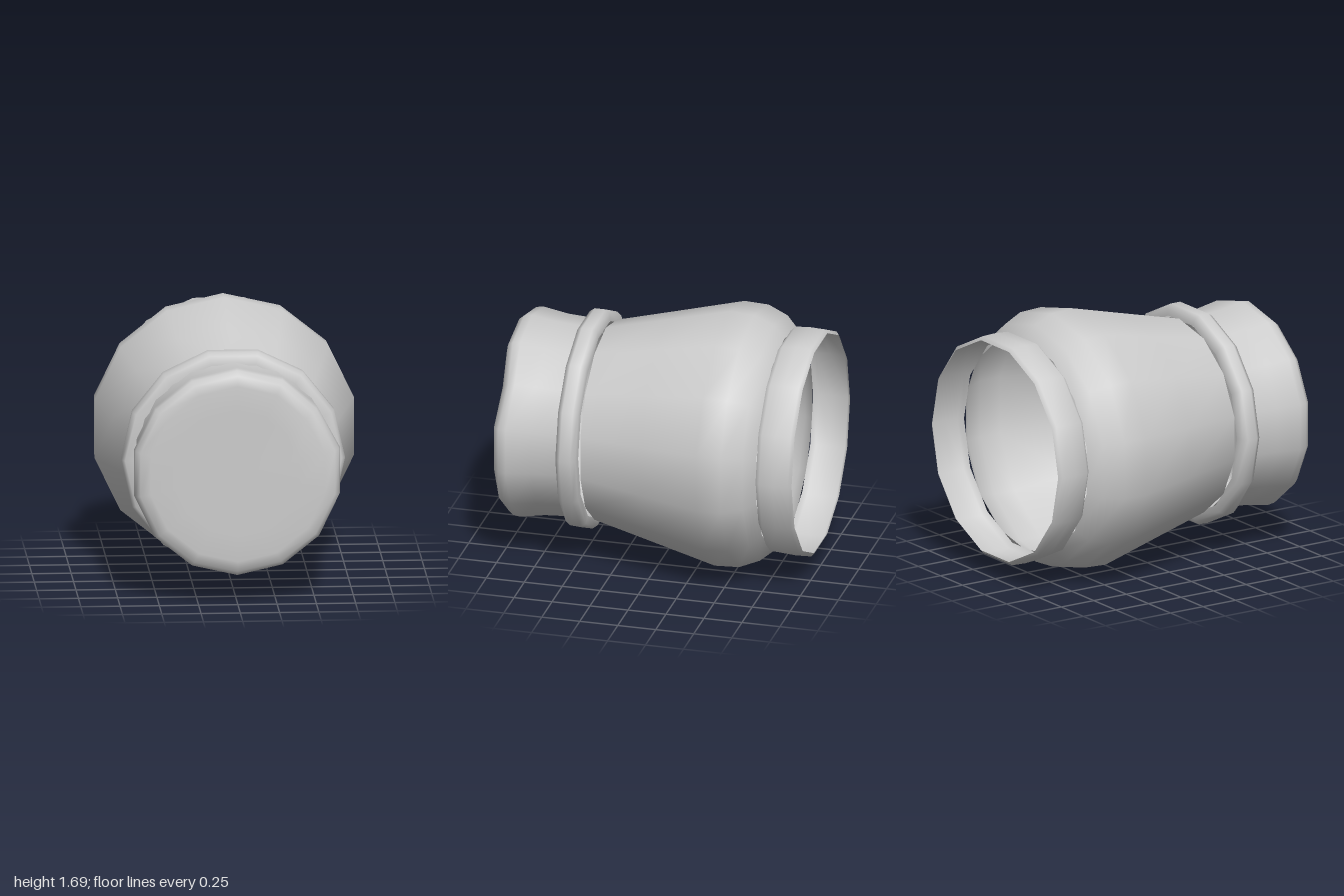
import * as THREE from 'three';
import { mergeVertices } from 'three/addons/utils/BufferGeometryUtils.js';

const SIDES = 14;
const CENTRE_Y = 0.855;

const material = new THREE.MeshStandardMaterial({ color: 0xcccccc, side: THREE.DoubleSide });

// Revolves [radius, z] pairs (z increasing) about the z axis, with smooth normals.
function turned(name, profile, turn = 0, adjust = null) {
  let geometry = new THREE.LatheGeometry(profile.map(([r, z]) => new THREE.Vector2(r, z)), SIDES, turn);
  geometry.rotateX(Math.PI / 2);
  geometry.deleteAttribute('uv');
  geometry.deleteAttribute('normal');
  geometry = mergeVertices(geometry, 1e-4);
  if (adjust) adjust(geometry.attributes.position);
  geometry.computeVertexNormals();
  const mesh = new THREE.Mesh(geometry, material);
  mesh.name = name;
  mesh.position.y = CENTRE_Y;
  return mesh;
}

// Small knock in the upper edge of the closed end.
function dent(position) {
  const p = new THREE.Vector3();
  const spot = new THREE.Vector3(0.52, 0.36, 0.96);
  for (let i = 0; i < position.count; i++) {
    p.fromBufferAttribute(position, i);
    const push = Math.max(0, 1 - p.distanceTo(spot) / 0.2) * 0.04;
    position.setXYZ(i, p.x * (1 - push), p.y * (1 - push), p.z - push);
  }
}

export function createModel() {
  const group = new THREE.Group();
  group.name = 'jar';
  const halfStep = Math.PI / SIDES;

  // Open mouth band at the back
  group.add(turned('mouthBand', [
    [0.715, -1], [0.738, -0.98], [0.742, -0.88], [0.735, -0.79], [0.705, -0.76],
  ], halfStep));

  // Swelling body, open at both ends
  group.add(turned('body', [
    [0.7, -0.76], [0.785, -0.69], [0.84, -0.56], [0.847, -0.4], [0.745, 0], [0.64, 0.415],
  ]));

  // Raised collar between body and closed end
  group.add(turned('collar', [
    [0.64, 0.425], [0.69, 0.43], [0.712, 0.46], [0.712, 0.53], [0.69, 0.562], [0.63, 0.568],
  ], halfStep));

  // Closed end with a rounded rim and flat face
  group.add(turned('endCap', [
    [0.64, 0.44], [0.635, 0.57], [0.645, 0.74], [0.672, 0.9], [0.665, 0.95],
    [0.635, 0.985], [0.57, 1], [0.4, 1], [0, 1],
  ], 0, dent));

  return group;
}
